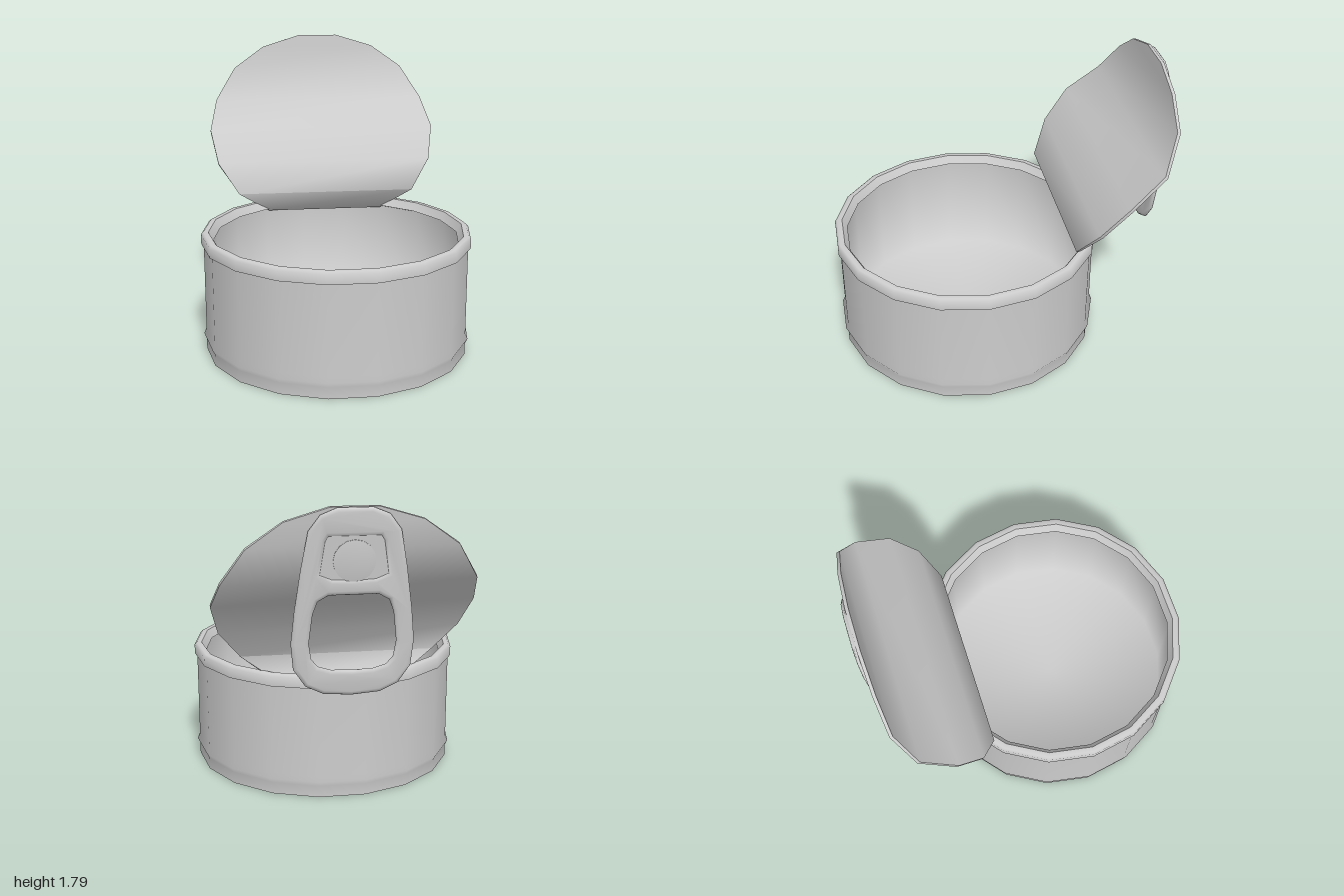
import * as THREE from 'three';
import { toCreasedNormals } from 'three/addons/utils/BufferGeometryUtils.js';

const SIDES = 18;
const CAN_Z = 0.19;
const material = new THREE.MeshStandardMaterial({ color: 0xcccccc });

const vectors = (points) => points.map(([x, y]) => new THREE.Vector2(x, y));

function addMesh(parent, name, geometry) {
  const mesh = new THREE.Mesh(geometry, material);
  mesh.name = name;
  parent.add(mesh);
  return mesh;
}

// 18-sided revolution with corners on the x axis
const revolve = (profile) => new THREE.LatheGeometry(vectors(profile), SIDES, Math.PI / SIDES);

// Closed outline from its right half, listed top to bottom
function mirrored(half) {
  const left = half.filter(([x]) => x > 0).reverse().map(([x, y]) => [-x, y]);
  return vectors([...half, ...left]);
}

// Bent sheet: rows of [z, y, half width], given a thickness along the profile normal
function bentSheet(rows, thickness) {
  const positions = [];
  const index = [];
  rows.forEach(([z, y, w], i) => {
    const a = rows[Math.max(i - 1, 0)];
    const b = rows[Math.min(i + 1, rows.length - 1)];
    const length = Math.hypot(b[0] - a[0], b[1] - a[1]);
    const nz = -(b[1] - a[1]) / length * thickness;
    const ny = (b[0] - a[0]) / length * thickness;
    // front left, front right, back left, back right
    positions.push(-w, y, z, w, y, z, -w, y + ny, z + nz, w, y + ny, z + nz);
  });
  const quad = (a, b, c, d) => index.push(a, b, c, a, c, d);
  for (let i = 0; i < rows.length - 1; i++) {
    const p = i * 4;
    const q = p + 4;
    quad(p, p + 1, q + 1, q);
    quad(p + 3, p + 2, q + 2, q + 3);
    quad(p + 1, p + 3, q + 3, q + 1);
    quad(p + 2, p, q, q + 2);
  }
  const e = (rows.length - 1) * 4;
  quad(0, 2, 3, 1);
  quad(e, e + 1, e + 3, e + 2);
  const geometry = new THREE.BufferGeometry();
  geometry.setAttribute('position', new THREE.Float32BufferAttribute(positions, 3));
  geometry.setIndex(index);
  return toCreasedNormals(geometry, 1.2);
}

function createCan() {
  const can = new THREE.Group();
  can.name = 'can';
  can.position.z = CAN_Z;
  // Slightly recessed base
  addMesh(can, 'base', toCreasedNormals(revolve([
    [0, 0.015], [0.785, 0.015], [0.793, 0], [0.805, 0],
  ]), 0.7));
  // Wall with a soft lower bead
  addMesh(can, 'canWall', revolve([
    [0.805, 0], [0.805, 0.07], [0.82, 0.1], [0.805, 0.13], [0.805, 0.69],
  ]));
  // Rolled top rim
  addMesh(can, 'rim', toCreasedNormals(revolve([
    [0.8, 0.677], [0.82, 0.677], [0.82, 0.735], [0.806, 0.748], [0.776, 0.748],
    [0.746, 0.698], [0.768, 0.69],
  ]), 0.9));
  // Smooth inner wall and floor
  addMesh(can, 'canInterior', revolve([[0.768, 0.692], [0.765, 0.035], [0, 0.035]]));
  return can;
}

function createTab() {
  const tab = new THREE.Group();
  tab.name = 'pullTab';
  tab.position.set(0, 1.783, -0.985);
  tab.rotation.x = -0.086;

  // Rounded frame with a rivet panel opening and a finger hole
  const frame = new THREE.Shape(mirrored([
    [0.09, -0.022], [0.17, -0.055], [0.225, -0.13], [0.262, -0.33], [0.295, -0.56], [0.313, -0.74],
    [0.3, -0.88], [0.24, -0.97], [0.15, -1.015], [0, -1.027],
  ]));
  const panel = [[0.13, -0.13], [0.155, -0.17], [0.185, -0.37], [0.1, -0.405], [0, -0.41]];
  const finger = [
    [0.12, -0.45], [0.19, -0.49], [0.22, -0.57], [0.24, -0.74], [0.225, -0.84],
    [0.18, -0.895], [0.1, -0.92], [0, -0.925],
  ];
  const grow = 0.02;
  for (const hole of [panel, finger]) {
    frame.holes.push(new THREE.Path(mirrored(hole.map(([x, y]) => [x > 0 ? x + grow : 0, y])).reverse()));
  }
  const frameGeometry = new THREE.ExtrudeGeometry(frame, {
    depth: 0.004, bevelThickness: 0.011, bevelSize: 0.022, bevelSegments: 2,
  });
  frameGeometry.translate(0, 0, -0.002);
  addMesh(tab, 'tabFrame', toCreasedNormals(frameGeometry, 0.9));

  // Recessed panel behind the rivet
  const plate = new THREE.Shape(mirrored([[0.16, -0.1], [0.215, -0.39], [0.12, -0.43], [0, -0.44]]));
  const plateGeometry = new THREE.ExtrudeGeometry(plate, { depth: 0.012, bevelEnabled: false });
  plateGeometry.translate(0, 0, -0.006);
  addMesh(tab, 'rivetPanel', plateGeometry);

  // Low domed rivet
  const rivet = addMesh(tab, 'rivet', toCreasedNormals(new THREE.LatheGeometry(vectors([
    [0.115, 0], [0.115, 0.01], [0.08, 0.015], [0, 0.017],
  ]), 16), 0.8));
  rivet.position.y = -0.285;
  rivet.rotation.x = -Math.PI / 2;
  return tab;
}

export function createModel() {
  const model = new THREE.Group();
  model.name = 'openTin';
  model.add(createCan());

  // Peeled-back lid, hinged at the rear rim; row widths follow an 18-sided disc
  const bend = [
    [-0.55, 0.66], [-0.462, 0.685], [-0.376, 0.825], [-0.475, 1.01], [-0.628, 1.203],
    [-0.83, 1.372], [-0.925, 1.573], [-0.945, 1.713], [-0.955, 1.787],
  ];
  const rows = bend.map(([z, y], i) => [z, y, 0.745 * Math.cos((i - 4) * Math.PI / 9)]);
  addMesh(model, 'lid', bentSheet(rows, 0.02));

  model.add(createTab());
  return model;
}
